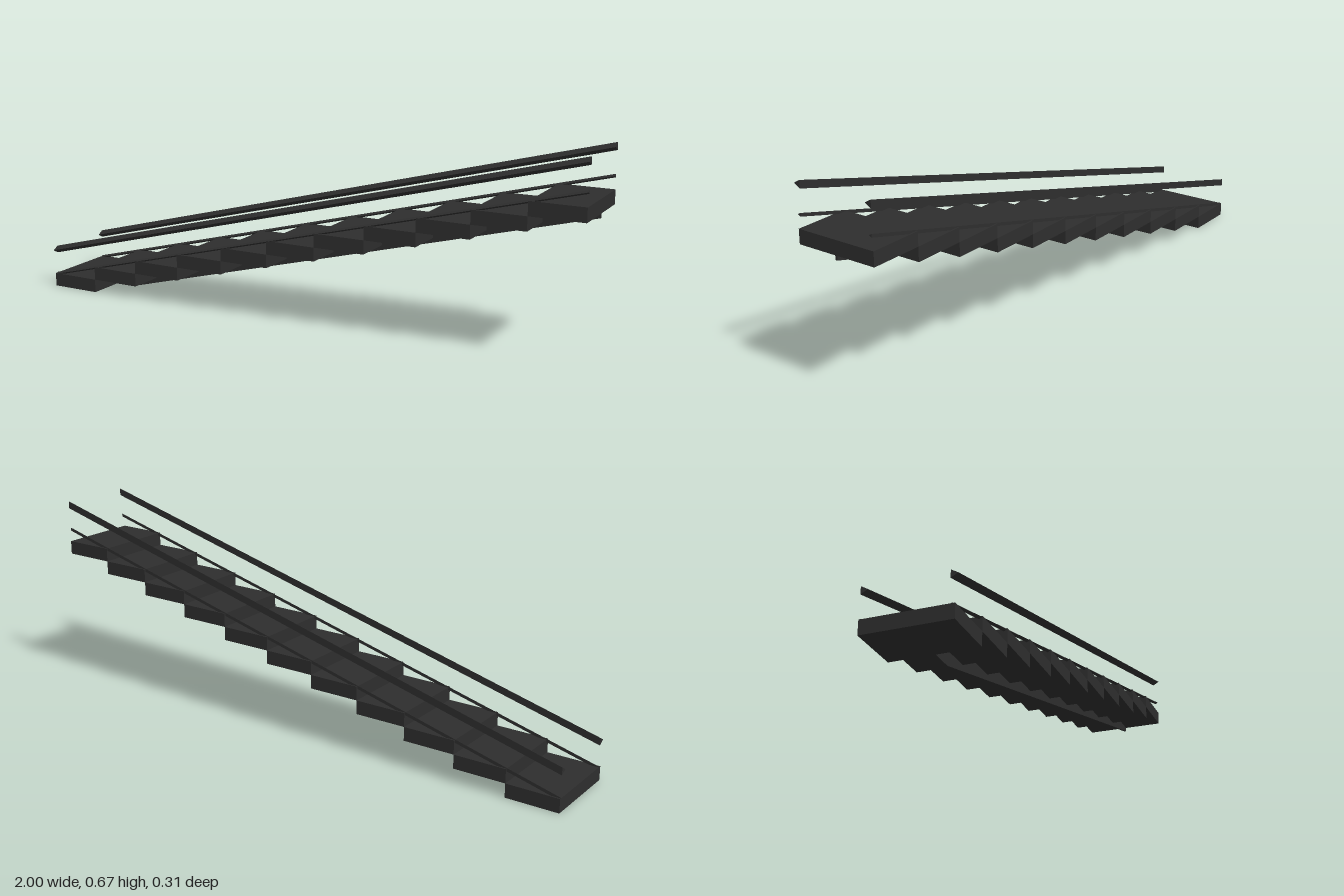
import * as THREE from 'three';

const STEPS = 11, RUN = 2 / STEPS, RISE = 0.0474, WIDTH = 0.284;
const SLOPE = RISE / RUN;

export function createModel() {
  const model = new THREE.Group();
  model.name = 'staircase';
  const material = new THREE.MeshStandardMaterial({ color: 0x2e2e2e, flatShading: true });

  const add = (name, geometry, x = 0, y = 0, z = 0) => {
    const mesh = new THREE.Mesh(geometry, material);
    mesh.name = name;
    mesh.position.set(x, y, z);
    model.add(mesh);
  };

  // Solid block treads, each resting at the height of the one before
  const treadGeometry = new THREE.BoxGeometry(RUN, RISE, WIDTH);
  for (let i = 0; i < STEPS; i++) {
    add('tread', treadGeometry, -1 + (i + 0.5) * RUN, (i + 0.5) * RISE);
  }

  // Thin central stringer: sawtooth on top, straight sloping underside
  const profile = new THREE.Shape();
  profile.moveTo(-0.74, 0);
  profile.lineTo(1, 0.46);
  for (let i = STEPS - 1; i > 0; i--) {
    profile.lineTo(-1 + (i + 1) * RUN, i * RISE);
    profile.lineTo(-1 + i * RUN, i * RISE);
  }
  profile.lineTo(-1 + RUN, 0);
  const stringer = new THREE.ExtrudeGeometry(profile, { depth: 0.008, bevelEnabled: false });
  stringer.translate(0, 0, -0.004);
  add('stringer', stringer);

  // Three-sided bars sheared to the pitch of the stairs, with upright ends
  const barGeometry = (r) => {
    const section = new THREE.Shape();
    section.moveTo(-r, 0);
    section.lineTo(r * 0.5, -r * 0.866);
    section.lineTo(r * 0.5, r * 0.866);
    const bar = new THREE.ExtrudeGeometry(section, { depth: 2, bevelEnabled: false });
    bar.translate(0, 0, -1);
    bar.rotateY(Math.PI / 2);
    bar.applyMatrix4(new THREE.Matrix4().set(1, 0, 0, 0, SLOPE, 1, 0, 0, 0, 0, 1, 0, 0, 0, 0, 1));
    return bar;
  };
  const handrail = barGeometry(0.0147), lowerRail = barGeometry(0.0065);
  for (const side of [1, -1]) {
    add('handrail', handrail, 0, 0.397, side * 0.1335);
    add('lowerRail', lowerRail, 0, 0.305, side * 0.1345);
  }

  // The flight runs very slightly askew
  model.rotation.y = -0.008;
  return model;
}
